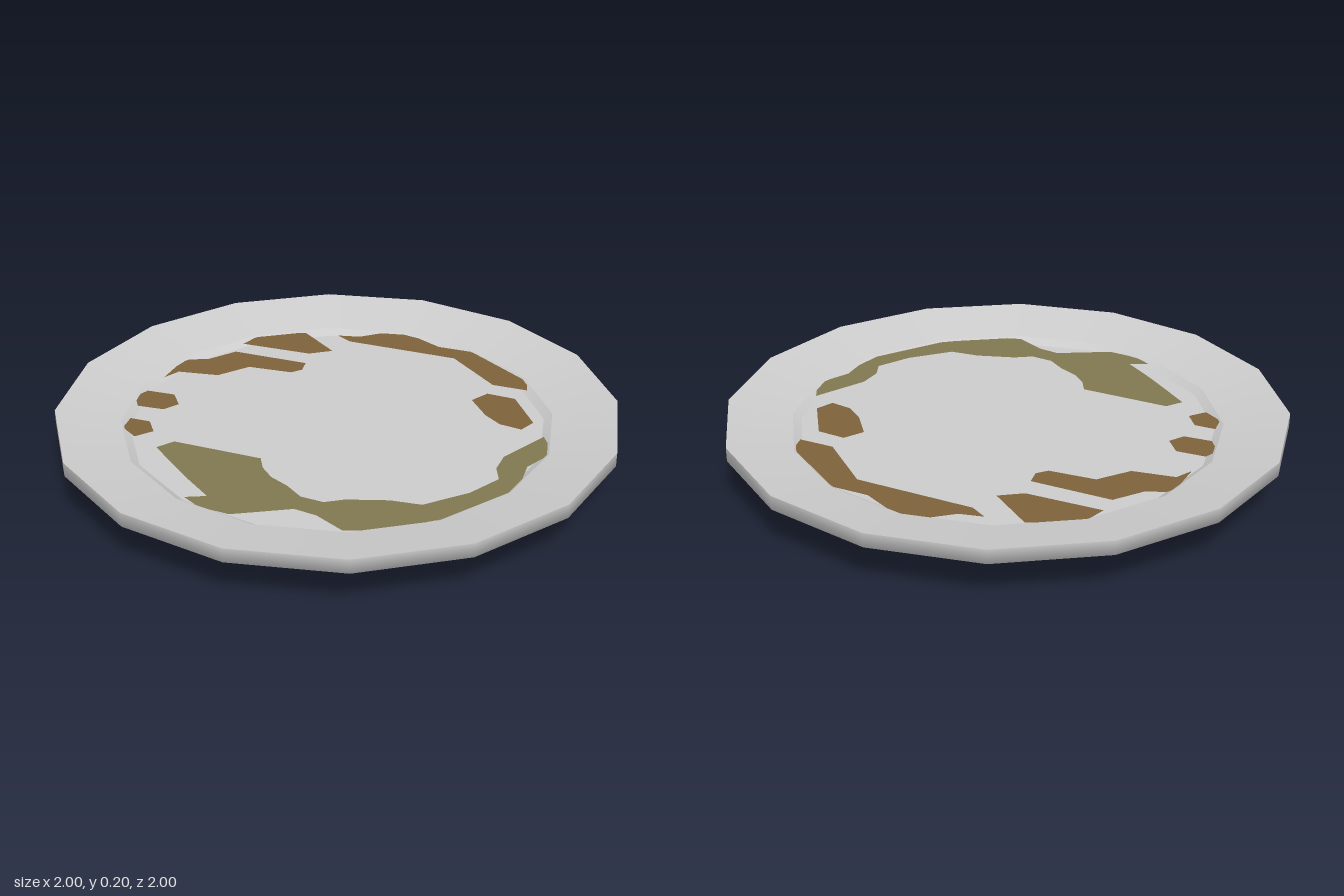
import * as THREE from 'three';

const SIDES = 16;
const PATCH_Y = 0.147;

// Profile sections [radius, height], running from the underside centre round to the top centre.
// Each section is smooth in itself, with a hard edge to the next.
const SECTIONS = {
  underside: [[0, 0.035], [0.59, 0.035]],
  footInnerWall: [[0.59, 0.035], [0.62, 0]],
  footRing: [[0.62, 0], [0.65, 0]],
  outerBody: [[0.65, 0], [0.7, 0.05], [0.93, 0.11], [1, 0.15], [1, 0.2]],
  rim: [[1, 0.2], [0.77, 0.152]],
  wellWall: [[0.77, 0.152], [0.74, 0.132]],
  wellFloor: [[0.74, 0.132], [0, 0.132]],
};

// Outlines of the stains as [x, z]
const BROWN = [
  [[-.48, -.52], [-.41, -.51], [-.01, -.67], [.24, -.59], [.36, -.64], [.31, -.71], [.22, -.73],
    [.07, -.755], [0, -.76], [-.12, -.71], [-.29, -.72], [-.37, -.65], [-.41, -.57]],
  [[.27, -.52], [.37, -.555], [.53, -.45], [.53, -.38], [.45, -.36], [.37, -.38], [.26, -.44]],
  [[-.59, -.45], [-.4, -.4], [-.45, -.32], [-.7, -.21], [-.71, -.3], [-.64, -.4]],
  [[-.4, -.25], [-.37, -.2], [-.385, -.155], [-.535, -.08], [-.57, .05], [-.7, .13], [-.705, .2],
    [-.755, .07], [-.75, .03], [-.7, -.02], [-.67, -.14]],
  [[-.57, .27], [-.5, .31], [-.51, .375], [-.6, .42], [-.665, .375], [-.665, .315]],
  [[-.475, .47], [-.41, .51], [-.43, .58], [-.51, .565], [-.545, .5]],
];
const GREEN = [
  [[.62, -.39], [.685, -.34], [.71, -.29], [.705, -.18], [.75, -.085], [.765, 0], [.73, .235],
    [.65, .385], [.58, .49], [.52, .54], [.4, .53], [.32, .55], [.21, .69], [.19, .715], [.085, .75],
    [.005, .74], [.055, .685], [-.085, .65], [-.315, .58], [-.3, .51], [.005, .39], [.055, .43],
    [.12, .455], [.2, .46], [.28, .48], [.36, .455], [.4, .395], [.51, .3], [.605, .25], [.67, .085],
    [.685, -.05], [.635, -.1], [.605, -.18]],
];

const points = (list, sign = 1) => list.map(([a, b]) => new THREE.Vector2(a, sign * b));

// Flat stains lying just above the well floor
function stains(name, outlines, color) {
  const geometry = new THREE.ShapeGeometry(outlines.map(o => new THREE.Shape(points(o, -1))));
  geometry.rotateX(-Math.PI / 2).translate(0, PATCH_Y, 0);
  const mesh = new THREE.Mesh(geometry, new THREE.MeshStandardMaterial({ color }));
  mesh.name = name;
  return mesh;
}

export function createModel() {
  const model = new THREE.Group();
  model.name = 'dirtyPlate';

  // Plate turned from its profile sections
  const plate = new THREE.Group();
  plate.name = 'plate';
  const grey = new THREE.MeshStandardMaterial({ color: 0xcccccc });
  for (const [name, profile] of Object.entries(SECTIONS)) {
    const mesh = new THREE.Mesh(new THREE.LatheGeometry(points(profile), SIDES), grey);
    mesh.name = name;
    plate.add(mesh);
  }
  model.add(plate);

  // Food stains
  model.add(stains('brownStains', BROWN, 0x7d623a), stains('greenStain', GREEN, 0x80774f));
  return model;
}
